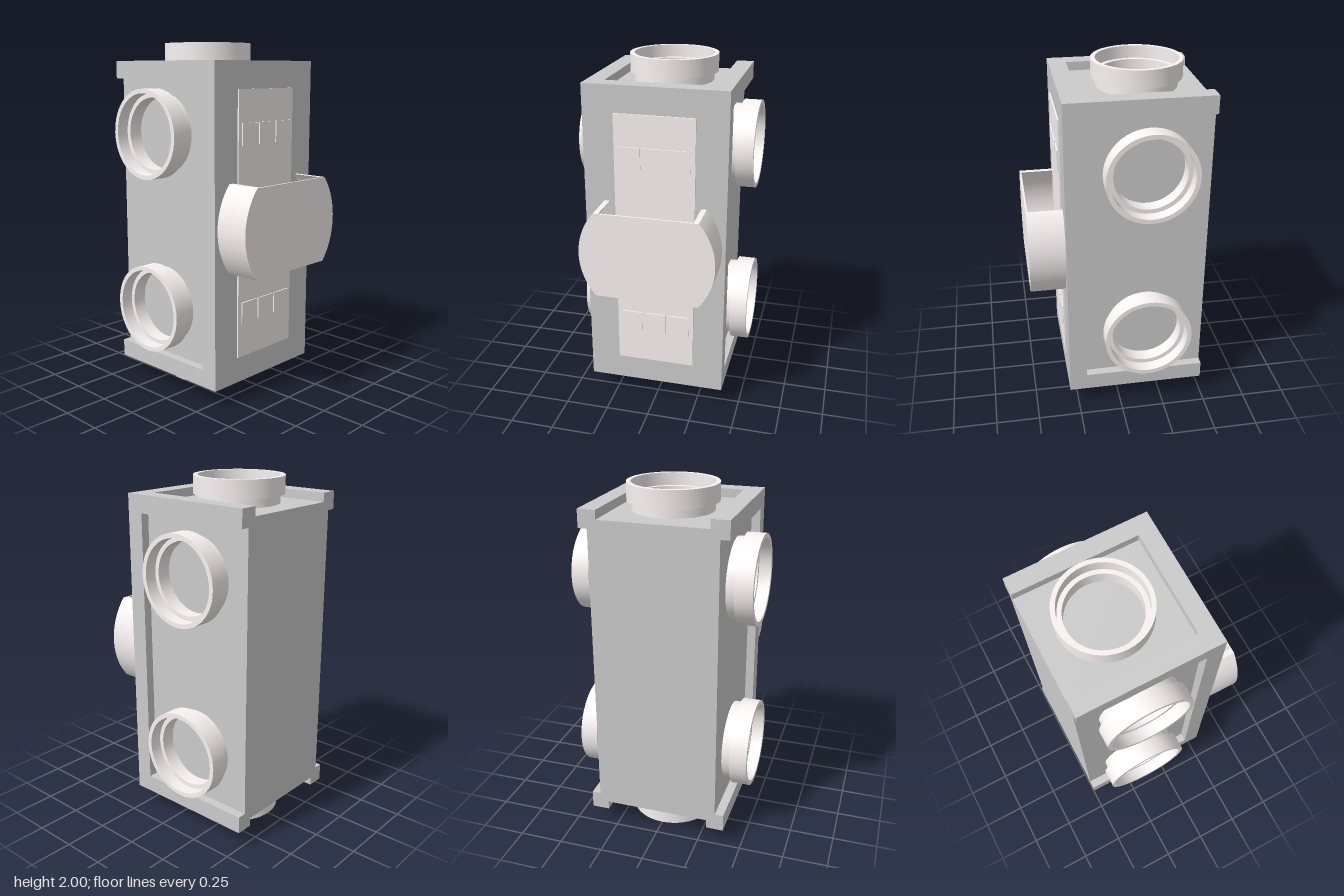
import * as THREE from 'three';
import { toCreasedNormals } from 'three/addons/utils/BufferGeometryUtils.js';

const grey = new THREE.MeshStandardMaterial({ color: 0xcccccc });
const pale = new THREE.MeshStandardMaterial({ color: 0xf9f2f2, side: THREE.DoubleSide });

export function createModel() {
  const model = new THREE.Group();

  function add(name, geometry, material, x = 0, y = 0, z = 0) {
    const mesh = new THREE.Mesh(geometry, material);
    mesh.name = name;
    mesh.position.set(x, y, z);
    model.add(mesh);
    return mesh;
  }

  // Body: a corner-railed section with shallow recesses on four sides
  const section = new THREE.Shape([
    [0.4, 0.9], [0.3, 0.9], [0.3, 0.85], [-0.3, 0.85], [-0.3, 0.9], [-0.4, 0.9],
    [-0.4, 0.8], [-0.35, 0.8], [-0.35, -0.8], [-0.4, -0.8], [-0.4, -0.9], [-0.3, -0.9],
    [-0.3, -0.85], [0.3, -0.85], [0.3, -0.9], [0.4, -0.9], [0.4, -0.8], [0.35, -0.8],
    [0.35, 0.8], [0.4, 0.8],
  ].map(([x, y]) => new THREE.Vector2(x, y)));
  add('body', new THREE.ExtrudeGeometry(section, { depth: 0.7, bevelEnabled: false }), grey, 0, 1, -0.5);
  add('frontSlab', new THREE.BoxGeometry(0.8, 1.8, 0.1), grey, 0, 1, 0.25);

  // Hollow connector rings: narrow neck, wider collar, stepped bore
  const ringProfile = [
    [0.2, 0], [0.225, 0], [0.225, 0.05], [0.25, 0.05], [0.25, 0.15],
    [0.225, 0.15], [0.225, 0.08], [0.2, 0.08], [0.2, 0],
  ].map(([r, y]) => new THREE.Vector2(r, y));
  const ringGeometry = toCreasedNormals(new THREE.LatheGeometry(ringProfile, 48), 0.5);
  add('topRing', ringGeometry, pale, 0, 1.85, -0.15);
  add('bottomRing', ringGeometry, pale, 0, 0.15, -0.15).rotation.x = Math.PI;
  for (const side of [-1, 1]) {
    for (const y of [0.5, 1.5]) {
      add('sideRing', ringGeometry, pale, side * 0.35, y, -0.15).rotation.z = -side * Math.PI / 2;
    }
  }

  // Thin front panel with two rows of three raised tabs
  add('frontPanel', new THREE.BoxGeometry(0.45, 1.5, 0.008), pale, 0, 1, 0.304);
  for (const y of [0.51, 1.51]) {
    for (const x of [-0.138, 0, 0.138]) {
      add('panelTab', new THREE.BoxGeometry(0.122, 0.12, 0.007), pale, x, y, 0.3115);
    }
  }

  // Raised cover: a disc cut flat above and below, on two thin curved walls
  const h = 0.247, R = 0.38, r = 0.358;
  const outer = Math.asin(h / R), inner = Math.asin(h / r);
  const plate = new THREE.Shape();
  plate.absarc(0, 0, R, -outer, outer, false);
  plate.absarc(0, 0, R, Math.PI - outer, Math.PI + outer, false);
  add('coverPlate', new THREE.ExtrudeGeometry(plate, { depth: 0.01, bevelEnabled: false, curveSegments: 16 }),
    pale, 0, 1.003, 0.49);
  for (const turn of [0, Math.PI]) {
    const wall = new THREE.Shape();
    wall.absarc(0, 0, R, turn - outer, turn + outer, false);
    wall.absarc(0, 0, r, turn + inner, turn - inner, true);
    const geometry = new THREE.ExtrudeGeometry(wall, { depth: 0.19, bevelEnabled: false, curveSegments: 16 });
    add('coverWall', toCreasedNormals(geometry, 0.5), pale, 0, 1.003, 0.3);
  }

  return model;
}
